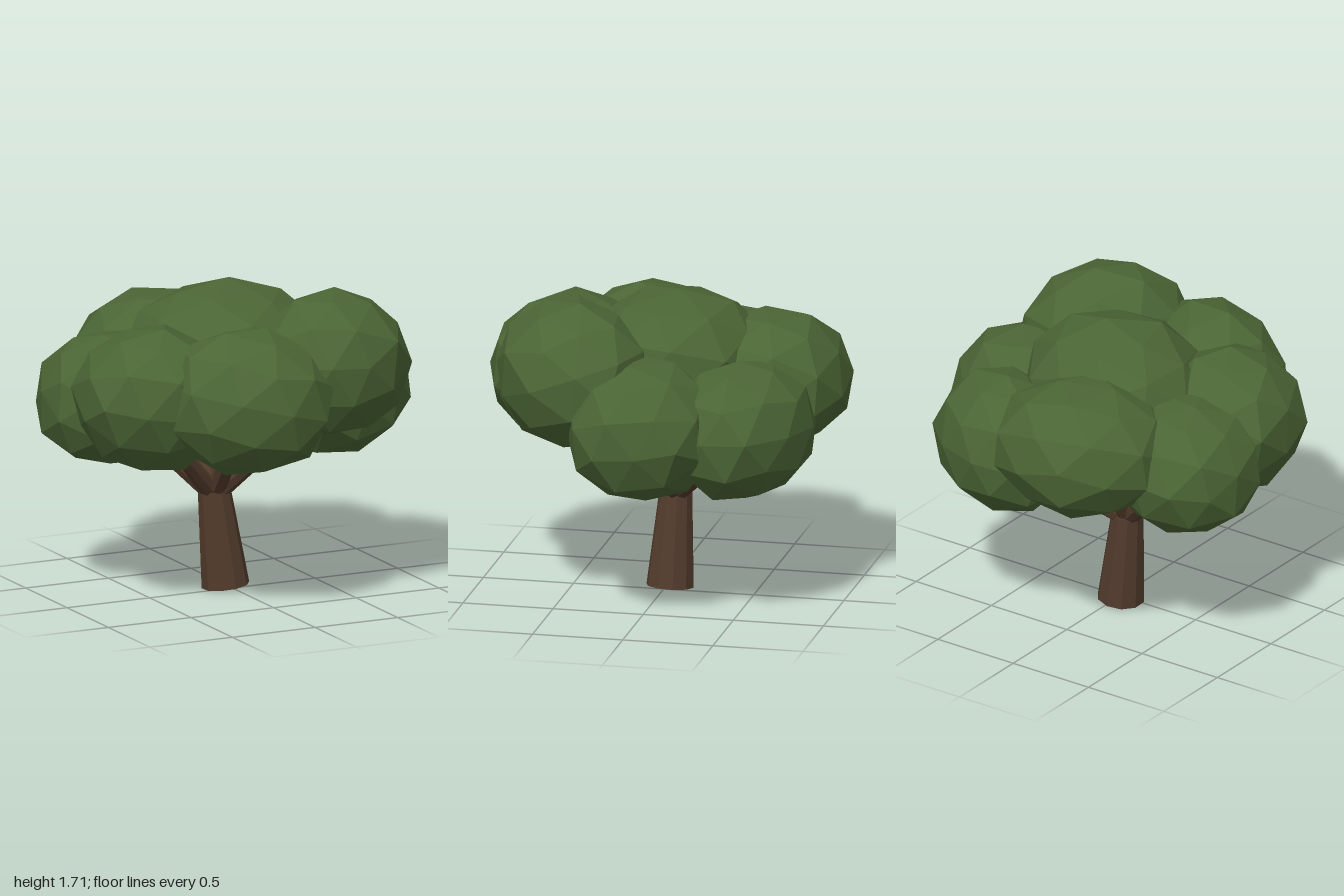
import * as THREE from 'three';

const leafGreen = new THREE.MeshStandardMaterial({ color: 0x4b6535, flatShading: true, name: 'leafGreen' });
const barkBrown = new THREE.MeshStandardMaterial({ color: 0x523b2c, flatShading: true, name: 'barkBrown' });

// Repeatable value in 0..1 for a point, so shared corners move together
function hash(x, y, z, seed) {
  const r = (n) => Math.round(n * 100);
  const s = Math.sin(r(x) * 12.99 + r(y) * 78.23 + r(z) * 37.72 + seed * 4.13) * 43758.55;
  return s - Math.floor(s);
}

// Faceted leaf clump, slightly irregular, filling the box from min to max.
// A positive skew lengthens it along the (+x, -z) diagonal, a negative one along (+x, +z).
// Fullness above 1 swells it against the box, which flattens its outermost facets.
function leafClump(name, min, max, skew, fullness, seed) {
  const geo = new THREE.IcosahedronGeometry(1, 1);
  const pos = geo.attributes.position;
  const v = new THREE.Vector3();
  for (let i = 0; i < pos.count; i++) {
    v.fromBufferAttribute(pos, i);
    v.multiplyScalar(0.96 + 0.08 * hash(v.x, v.y, v.z, seed));
    pos.setXYZ(i, v.x, v.y, v.z);
  }
  geo.rotateX(seed * 1.3).rotateY(seed * 2.1).rotateZ(seed * 0.7);
  geo.applyMatrix4(new THREE.Matrix4().set(1, 0, -skew, 0, 0, 1, 0, 0, -skew, 0, 1, 0, 0, 0, 0, 1));
  geo.computeBoundingBox();
  const size = geo.boundingBox.getSize(new THREE.Vector3());
  const mid = geo.boundingBox.getCenter(new THREE.Vector3());
  const lo = new THREE.Vector3(...min), hi = new THREE.Vector3(...max);
  const scale = hi.clone().sub(lo).divide(size).multiplyScalar(fullness);
  const centre = lo.clone().add(hi).multiplyScalar(0.5);
  for (let i = 0; i < pos.count; i++) {
    v.fromBufferAttribute(pos, i).sub(mid).multiply(scale).add(centre).clamp(lo, hi);
    pos.setXYZ(i, v.x, v.y, v.z);
  }
  geo.computeVertexNormals();
  const mesh = new THREE.Mesh(geo, leafGreen);
  mesh.name = name;
  return mesh;
}

// Tapered limb between two points
function limb(name, from, to, r0, r1, sides) {
  const a = new THREE.Vector3(...from), b = new THREE.Vector3(...to);
  const dir = b.clone().sub(a);
  const mesh = new THREE.Mesh(new THREE.CylinderGeometry(r1, r0, dir.length(), sides), barkBrown);
  mesh.position.copy(a).add(b).multiplyScalar(0.5);
  mesh.quaternion.setFromUnitVectors(new THREE.Vector3(0, 1, 0), dir.normalize());
  mesh.name = name;
  return mesh;
}

export function createModel() {
  const tree = new THREE.Group();
  tree.name = 'tree';

  // Leaning trunk
  tree.add(limb('trunk', [-0.027, 0.015, -0.03], [-0.085, 0.55, -0.05], 0.131, 0.09, 10));

  // Branches spreading from the fork
  const tips = [
    [0.25, 1.01, 0.37], [-0.13, 1.02, 0.38], [-0.48, 0.94, 0.14], [-0.46, 0.9, -0.25],
    [-0.13, 1.02, -0.36], [0.3, 0.84, -0.38], [0.44, 0.88, -0.04],
  ];
  tips.forEach((tip, i) => tree.add(limb('branch' + (i + 1), [-0.085, 0.52, -0.05], tip, 0.055, 0.04, 8)));

  // Crown of overlapping clumps: box corners, skew, fullness
  const clumps = [
    ['topLeaves', [-0.57, 0.95, -0.55], [0.49, 1.71, 0.44], -0.05, 1],
    ['backLeaves', [-0.64, 0.83, -0.99], [0.31, 1.54, -0.14], 0.04, 1.04],
    ['frontLeftLeaves', [-0.06, 0.93, 0.0], [0.81, 1.71, 0.83], 0.09, 1.03],
    ['frontLeaves', [-0.65, 0.79, 0.12], [0.23, 1.58, 0.99], -0.09, 1],
    ['frontRightLeaves', [-0.98, 0.8, -0.2], [-0.2, 1.56, 0.62], -0.05, 1.05],
    ['backLeftLeaves', [0.0, 0.67, -0.91], [0.8, 1.43, -0.15], -0.1, 1.05],
    ['backRightLeaves', [-1.0, 0.7, -0.66], [-0.2, 1.43, 0.14], 0, 1.02],
    ['leftLeaves', [0.18, 0.72, -0.42], [1.0, 1.44, 0.39], 0, 1.06],
  ];
  clumps.forEach(([name, min, max, skew, fullness], i) => tree.add(leafClump(name, min, max, skew, fullness, i + 1)));

  return tree;
}
